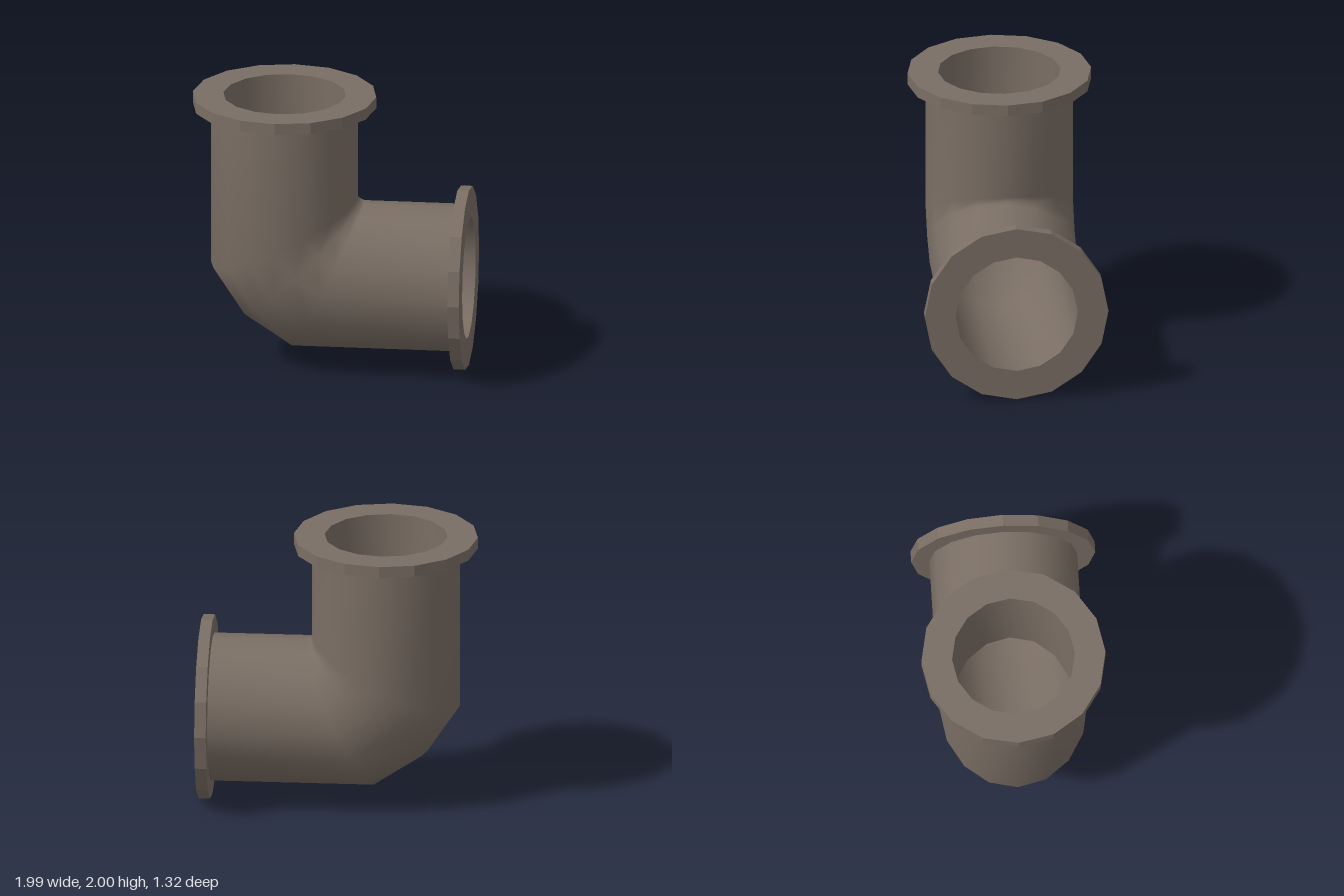
import * as THREE from 'three';

const SIDES = 16;
const FLANGE_R = 0.66, PIPE_R = 0.53, BORE_R = 0.44, FLANGE_T = 0.083;
const AXIS_X = -0.335, AXIS_Y = 0.66;   // centre lines of the two legs
const TOP = 2, END = 0.992;             // open faces of the two legs

// Mitred sections along the elbow: centre [x, y] and outward direction [ux, uy]
const sections = (top, end) => [
  [AXIS_X, top, -1, 0],
  [AXIS_X, 0.973, -1, -0.487],
  [-0.212, 0.783, -0.793, -0.793],
  [-0.022, AXIS_Y, -0.487, -1],
  [end, AXIS_Y, 0, -1],
];

// Smooth tube through the sections; inward = true turns its faces to the inside
function elbowTube(radius, rings, inward) {
  const pos = [], index = [];
  for (const [x, y, ux, uy] of rings) {
    for (let j = 0; j < SIDES; j++) {
      const a = (j / SIDES) * Math.PI * 2;
      const c = Math.cos(a) * radius;
      pos.push(x + ux * c, y + uy * c, Math.sin(a) * radius);
    }
  }
  for (let i = 0; i < rings.length - 1; i++) {
    for (let j = 0; j < SIDES; j++) {
      const k = (j + 1) % SIDES;
      const a = i * SIDES + j, b = i * SIDES + k, c = a + SIDES, d = b + SIDES;
      if (inward) index.push(a, b, c, c, b, d);
      else index.push(a, c, b, c, d, b);
    }
  }
  const geo = new THREE.BufferGeometry();
  geo.setAttribute('position', new THREE.Float32BufferAttribute(pos, 3));
  geo.setIndex(index);
  geo.computeVertexNormals();
  return geo;
}

// Faceted ring whose open face lies at local y = 0, facing +y
function flangeGeometry() {
  const profile = [
    [PIPE_R - 0.01, -FLANGE_T], [FLANGE_R, -FLANGE_T], [FLANGE_R, 0], [BORE_R, 0],
  ].map(([x, y]) => new THREE.Vector2(x, y));
  const geo = new THREE.LatheGeometry(profile, SIDES).toNonIndexed();
  geo.computeVertexNormals();
  return geo;
}

export function createModel() {
  const group = new THREE.Group();
  group.name = 'pipeElbow';
  const material = new THREE.MeshStandardMaterial({ color: 0x7a6e64 });

  const add = (name, geo) => {
    const mesh = new THREE.Mesh(geo, material);
    mesh.name = name;
    group.add(mesh);
    return mesh;
  };

  // Outer wall and bore
  add('pipeWall', elbowTube(PIPE_R, sections(TOP - FLANGE_T, END - FLANGE_T), false));
  add('pipeBore', elbowTube(BORE_R, sections(TOP, END), true));

  // Flanges at both openings
  const flange = flangeGeometry();
  add('topFlange', flange).position.set(AXIS_X, TOP, 0);
  const side = add('sideFlange', flange);
  side.position.set(END, AXIS_Y, 0);
  side.rotation.z = -Math.PI / 2;

  return group;
}
